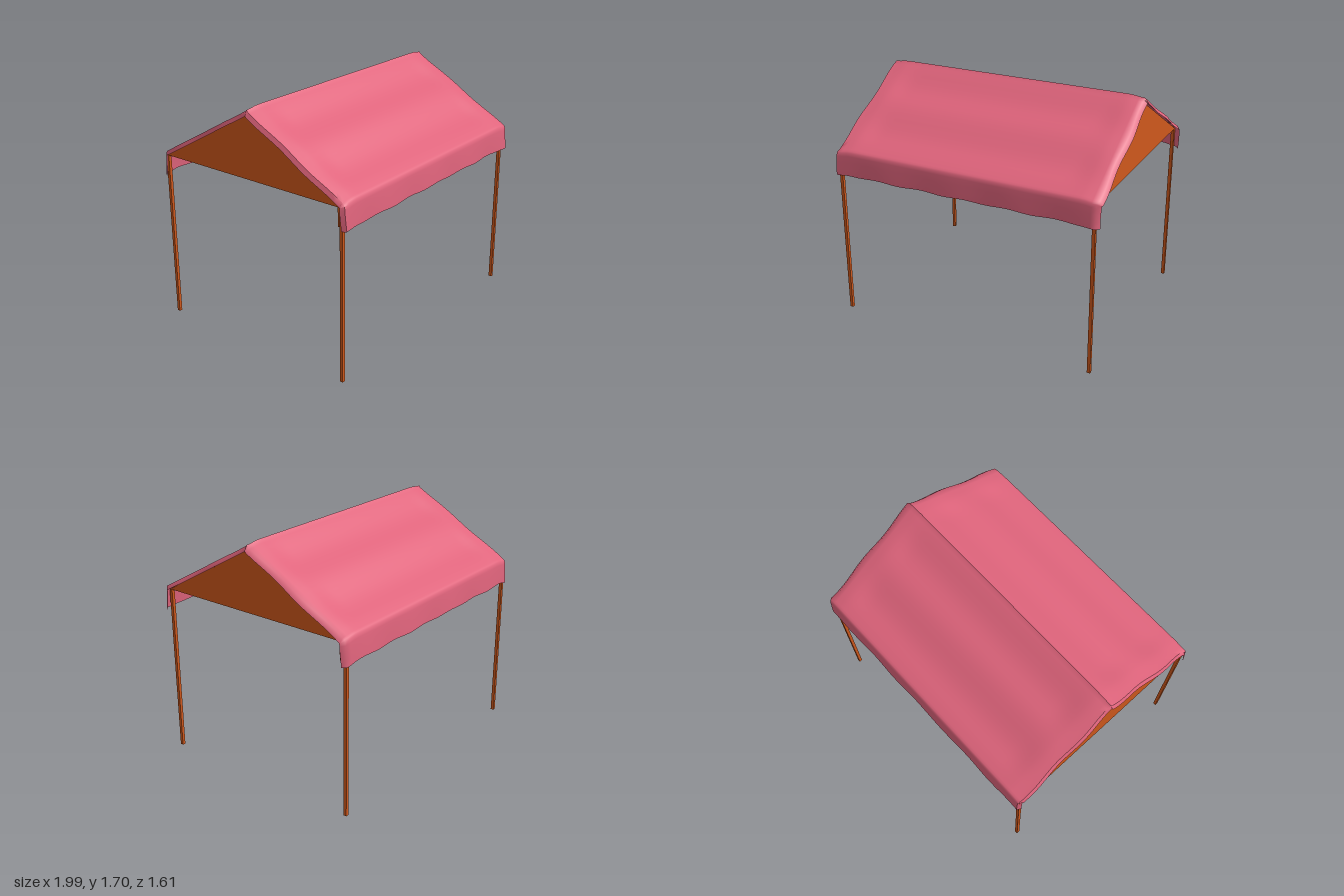
import * as THREE from 'three';
import { toCreasedNormals } from 'three/addons/utils/BufferGeometryUtils.js';

const wood = new THREE.MeshStandardMaterial({ color: 0xcf581c });
const cloth = new THREE.MeshStandardMaterial({ color: 0xe0647c, side: THREE.DoubleSide });

const EAVE = 1.22, APEX = 1.66, HALF_X = 0.952, HALF_Z = 0.763, POST = 0.023;
const SLOPE = Math.atan2(APEX - EAVE, HALF_Z);

function addBox(group, name, size, pos, tilt = 0) {
  const mesh = new THREE.Mesh(new THREE.BoxGeometry(...size), wood);
  mesh.name = name;
  mesh.position.set(...pos);
  mesh.rotation.x = tilt;
  group.add(mesh);
}

// Half of the canopy section, ridge to hem: [z, y]
const section = [[0, 1.703], [0.012, 1.692], [0.03, 1.682]];
for (let i = 1; i <= 20; i++) {
  const t = i / 20;
  section.push([0.03 + 0.73 * t, 1.682 - 0.415 * t]);
}
section.push([0.775, 1.259], [0.784, 1.248], [0.788, 1.225], [0.792, 1.18], [0.797, 1.13], [0.8, 1.085]);

// Columns along x; the outermost one on each side is the turned-down lip
const columns = [-0.988, -0.972];
for (let i = 1; i < 48; i++) columns.push(-0.972 + (1.94 * i) / 48);
columns.push(0.968, 0.99);

function canopyPoint(x, row, isLip) {
  const n = section.length - 1;
  const k = Math.abs(row - n);
  const side = row < n ? -1 : 1;
  let [z, y] = section[k];
  const inner = 1 - THREE.MathUtils.smoothstep(Math.abs(x), 0.72, 0.96);
  // Sag between ridge, purlin and eave, slight drop at the ends
  if (z < 0.76) y -= 0.02 * inner * Math.pow(Math.sin((Math.PI * z) / 0.38), 2);
  y -= 0.012 * THREE.MathUtils.smoothstep(Math.abs(x), 0.86, 0.97);
  // Soft waves on the hanging valance
  const hang = THREE.MathUtils.clamp((1.25 - y) / 0.17, 0, 1);
  y += 0.004 * hang * Math.sin(x * 19 + side);
  z += 0.003 * hang * Math.sin(x * 13 + side * 2);
  // Uneven ends
  if (Math.abs(x) > 0.96) x += 0.006 * Math.sin(row * 0.55);
  if (isLip) {
    const [z0, y0] = section[Math.max(k - 1, 0)];
    const [z1, y1] = section[Math.min(k + 1, n)];
    const len = Math.hypot(z1 - z0, y1 - y0);
    if (k === 0) y -= 0.036;
    else {
      z = Math.max(0, z + (0.03 * (y1 - y0)) / len);
      y -= (0.03 * (z1 - z0)) / len;
    }
  }
  return [x, y, side * z];
}

function makeCanopy() {
  const rows = section.length * 2 - 2, cols = columns.length - 1;
  const geo = new THREE.PlaneGeometry(1, 1, cols, rows);
  for (let r = 0; r <= rows; r++) {
    for (let c = 0; c <= cols; c++) {
      const p = canopyPoint(columns[c], r, c === 0 || c === cols);
      geo.attributes.position.setXYZ(r * (cols + 1) + c, ...p);
    }
  }
  const mesh = new THREE.Mesh(toCreasedNormals(geo, 1.0), cloth);
  mesh.name = 'canopy';
  return mesh;
}

export function createModel() {
  const model = new THREE.Group();
  const frame = new THREE.Group();
  frame.name = 'frame';
  frame.position.set(-0.01, 0, -0.005);
  model.add(frame, makeCanopy());

  // Triangular gable panels
  const triangle = new THREE.Shape([
    new THREE.Vector2(-HALF_Z - 0.01, EAVE),
    new THREE.Vector2(HALF_Z + 0.01, EAVE),
    new THREE.Vector2(0, APEX),
  ]);
  const gableGeo = new THREE.ExtrudeGeometry(triangle, { depth: 0.02, bevelEnabled: false });
  gableGeo.translate(0, 0, -0.01).rotateY(Math.PI / 2);

  for (const sx of [-1, 1]) {
    const gable = new THREE.Mesh(gableGeo, wood);
    gable.name = 'gable';
    gable.position.x = sx * HALF_X;
    frame.add(gable);
    for (const sz of [-1, 1]) {
      addBox(frame, 'post', [POST, EAVE, POST], [sx * HALF_X, EAVE / 2, sz * HALF_Z]);
    }
  }

  // Beams running between the gables
  const length = HALF_X * 2;
  addBox(frame, 'ridgeBeam', [length, 0.035, 0.03], [0, APEX - 0.03, 0]);
  for (const s of [-1, 1]) {
    addBox(frame, 'eaveBeam', [length, 0.025, 0.025], [0, EAVE + 0.005, s * (HALF_Z - 0.005)]);
    addBox(frame, 'purlin', [length, 0.035, 0.04],
      [0, (EAVE + APEX) / 2 - 0.018, s * (HALF_Z / 2 - 0.005)], s * SLOPE);
  }
  return model;
}
